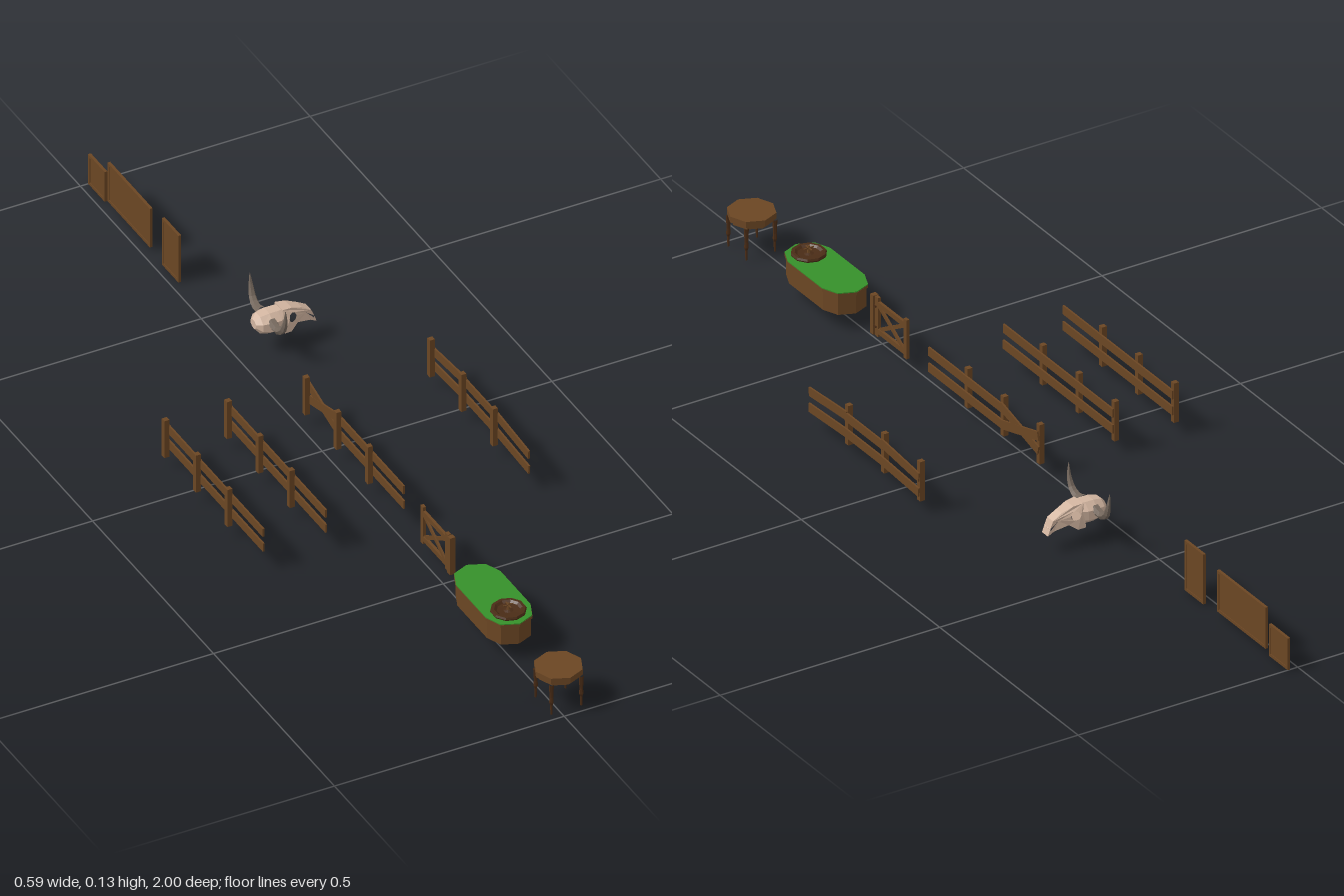
import * as THREE from 'three';

const mat = (color) => new THREE.MeshStandardMaterial({ color, flatShading: true });
const wood = mat(0x6b4623), darkWood = mat(0x4a2c16), felt = mat(0x36902a);
const bone = mat(0xd2b5a0), horn = mat(0x75685d);

function add(parent, name, geometry, material, x = 0, y = 0, z = 0) {
  const mesh = new THREE.Mesh(geometry, material);
  mesh.name = name;
  mesh.position.set(x, y, z);
  parent.add(mesh);
  return mesh;
}

function group(parent, name, x = 0, y = 0, z = 0) {
  const g = new THREE.Group();
  g.name = name;
  g.position.set(x, y, z);
  parent.add(g);
  return g;
}

// Thin board in the YZ plane running between two (z, y) points
function board(parent, name, z0, y0, z1, y1, height, thick, x = 0) {
  const len = Math.hypot(z1 - z0, y1 - y0);
  const m = add(parent, name, new THREE.BoxGeometry(thick, height, len), wood, x, (y0 + y1) / 2, (z0 + z1) / 2);
  m.rotation.x = -Math.atan2(y1 - y0, z1 - z0);
  return m;
}

// Stool with faceted seat and four turned legs
function stool(root) {
  const g = group(root, 'stool', 0.014, 0, 0.95);
  add(g, 'seat', new THREE.CylinderGeometry(0.049, 0.049, 0.013, 8), wood, 0, 0.079, 0);
  add(g, 'seatApron', new THREE.CylinderGeometry(0.042, 0.042, 0.008, 8), wood, 0, 0.069, 0);
  const profile = [[0, 0], [0.002, 0], [0.0025, 0.022], [0.0045, 0.028], [0.0035, 0.04], [0.005, 0.07]];
  const leg = new THREE.LatheGeometry(profile.map(([r, y]) => new THREE.Vector2(r, y)), 6);
  for (const sx of [-1, 1]) for (const sz of [-1, 1]) add(g, 'stoolLeg', leg, darkWood, sx * 0.0325, 0, sz * 0.0325);
}

// Long round-ended slab
function capsule(radius, length, height) {
  const h = length / 2 - radius;
  const s = new THREE.Shape();
  s.absarc(0, h, radius, 0, Math.PI, false);
  s.absarc(0, -h, radius, Math.PI, Math.PI * 2, false);
  return new THREE.ExtrudeGeometry(s, { depth: height, bevelEnabled: false, curveSegments: 2 }).rotateX(-Math.PI / 2);
}

// Gaming table: wooden tub, green cloth top, spinning wheel
function gamingTable(root) {
  const g = group(root, 'gamingTable', 0.013, 0, 0.682);
  add(g, 'tableBody', capsule(0.046, 0.214, 0.044), wood, 0, 0.035, 0);
  add(g, 'tableRim', capsule(0.049, 0.222, 0.006), wood, 0, 0.077, 0);
  add(g, 'clothTop', capsule(0.0485, 0.221, 0.002), felt, 0, 0.083, 0);
  const w = group(g, 'wheel', 0, 0.084, 0.063);
  const dish = [[0.034, 0], [0.036, 0.004], [0.034, 0.008], [0.028, 0.008], [0.023, 0.004], [0.01, 0.003], [0, 0.006]];
  add(w, 'wheelDish', new THREE.LatheGeometry(dish.map(([r, y]) => new THREE.Vector2(r, y)), 10), darkWood);
  add(w, 'wheelSpindle', new THREE.CylinderGeometry(0.002, 0.004, 0.018, 6), wood, 0, 0.011, 0);
  for (const a of [0, Math.PI / 2]) {
    add(w, 'wheelHandle', new THREE.BoxGeometry(0.022, 0.002, 0.002), wood, 0, 0.015, 0).rotation.y = a;
  }
}

// Braced gate hanging on a post
function gate(root) {
  const g = group(root, 'gate', 0.014, 0, 0);
  add(g, 'hingePost', new THREE.BoxGeometry(0.012, 0.086, 0.011), wood, 0, 0.068, 0.507);
  for (const z of [0.494, 0.391]) add(g, 'gateStile', new THREE.BoxGeometry(0.007, 0.086, 0.011), wood, 0, 0.068, z);
  for (const y of [0.037, 0.097]) add(g, 'gateRail', new THREE.BoxGeometry(0.006, 0.011, 0.1), wood, 0, y, 0.4425);
  board(g, 'gateBrace', 0.395, 0.039, 0.49, 0.095, 0.008, 0.004, 0.001);
  board(g, 'gateBrace', 0.395, 0.095, 0.49, 0.039, 0.008, 0.004, -0.001);
  for (const y of [0.045, 0.09]) add(g, 'hinge', new THREE.BoxGeometry(0.004, 0.004, 0.012), darkWood, 0.003, y, 0.5);
}

// Three-bay fence; each bay lists rail heights: [upper start, upper end, lower start, lower end]
function fence(root, x, bays) {
  const g = group(root, 'fence', x, 0, 0);
  bays.forEach(([u0, u1, l0, l1], i) => {
    const z = -0.095 + i * 0.13;
    add(g, 'fencePost', new THREE.BoxGeometry(0.011, 0.087, 0.011), wood, 0, 0.0685, z);
    board(g, 'upperRail', z - 0.004, u0, z + 0.132, u1, 0.019, 0.004, 0.0068);
    board(g, 'lowerRail', z - 0.004, l0, z + 0.132, l1, 0.019, 0.004, 0.0072);
  });
}

// Closed loft through rings: [x, centre y, half height, half width]
function loft(rings, sides) {
  const pos = [], idx = [];
  for (const [x, cy, h, w] of rings) {
    for (let i = 0; i < sides; i++) {
      const a = ((i + 0.5) / sides) * Math.PI * 2;
      pos.push(x, cy + Math.cos(a) * h, Math.sin(a) * w);
    }
  }
  for (let r = 0; r < rings.length - 1; r++) {
    for (let i = 0; i < sides; i++) {
      const a = r * sides + i, b = r * sides + ((i + 1) % sides);
      idx.push(a, a + sides, b, b, a + sides, b + sides);
    }
  }
  const last = (rings.length - 1) * sides;
  for (let i = 1; i < sides - 1; i++) idx.push(0, i, i + 1, last, last + i + 1, last + i);
  const geo = new THREE.BufferGeometry();
  geo.setAttribute('position', new THREE.Float32BufferAttribute(pos, 3));
  geo.setIndex(idx.map((_, k) => (k % 3 === 1 ? idx[k + 1] : k % 3 === 2 ? idx[k - 1] : idx[k])));
  geo.computeVertexNormals();
  return geo;
}

// Horned cattle skull facing +x
function skull(root) {
  const g = group(root, 'skull', 0, 0, -0.355);
  const rings = [[0.037, 0.066, 0.01, 0.012], [0.047, 0.065, 0.021, 0.024], [0.066, 0.065, 0.025, 0.03],
    [0.085, 0.065, 0.025, 0.029], [0.1, 0.066, 0.024, 0.023]];
  const cranium = add(g, 'cranium', loft(rings, 8), bone);
  cranium.material = bone.clone();
  cranium.material.side = THREE.DoubleSide;
  // Face profile with an eye socket and nose slot, narrowed towards the snout
  const s = new THREE.Shape();
  [[0.092, 0.09], [0.113, 0.088], [0.137, 0.079], [0.157, 0.067], [0.169, 0.037], [0.155, 0.044], [0.125, 0.052],
    [0.108, 0.04], [0.092, 0.042]].forEach(([x, y], i) => (i ? s.lineTo(x, y) : s.moveTo(x, y)));
  const eye = new THREE.Path();
  eye.absarc(0.112, 0.07, 0.0095, 0, Math.PI * 2, true);
  const nose = new THREE.Path();
  nose.setFromPoints([[0.146, 0.064], [0.164, 0.051], [0.163, 0.047]].map(([x, y]) => new THREE.Vector2(x, y)));
  s.holes.push(eye, nose);
  const face = new THREE.ExtrudeGeometry(s, { depth: 2, bevelEnabled: false, curveSegments: 4 }).translate(0, 0, -1);
  const p = face.attributes.position;
  for (let i = 0; i < p.count; i++) {
    const t = THREE.MathUtils.clamp((p.getX(i) - 0.1) / 0.04, 0, 1);
    const top = THREE.MathUtils.clamp((p.getY(i) - 0.07) / 0.02, 0, 1);
    p.setZ(i, p.getZ(i) * THREE.MathUtils.lerp(0.027, 0.011, t) * (1 - 0.4 * top));
  }
  face.computeVertexNormals();
  add(g, 'face', face, bone);
  // Tapered, upswept horns
  for (const side of [-1, 1]) {
    const path = new THREE.CatmullRomCurve3([[0.067, 0.074, 0.02], [0.067, 0.069, 0.042], [0.068, 0.079, 0.061],
      [0.069, 0.102, 0.071], [0.068, 0.131, 0.074]].map(([x, y, z]) => new THREE.Vector3(x, y, z * side)));
    const tube = new THREE.TubeGeometry(path, 8, 0.0095, 6);
    const q = tube.attributes.position, v = new THREE.Vector3();
    for (let i = 0; i < q.count; i++) {
      const t = Math.floor(i / 7) / 8, c = path.getPointAt(t);
      v.fromBufferAttribute(q, i).sub(c).multiplyScalar(1 - 0.95 * t * t).add(c);
      q.setXYZ(i, v.x, v.y, v.z);
    }
    add(g, 'horn', tube, horn);
  }
}

// Flat framed panel in the YZ plane
function panel(root, name, z0, z1, y0, y1) {
  const w = z1 - z0, h = y1 - y0, f = 0.006;
  const g = group(root, name, 0.02, (y0 + y1) / 2, (z0 + z1) / 2);
  add(g, 'panelBoard', new THREE.BoxGeometry(0.003, h - f, w - f), wood);
  for (const k of [-1, 1]) {
    add(g, 'frameSide', new THREE.BoxGeometry(0.006, h, f), wood, 0, 0, k * (w - f) / 2);
    add(g, 'frameEdge', new THREE.BoxGeometry(0.006, f, w - 2 * f), wood, 0, k * (h - f) / 2, 0);
  }
}

export function createModel() {
  const root = new THREE.Group();
  root.name = 'ranchProps';
  stool(root);
  gamingTable(root);
  gate(root);
  const level = [0.087, 0.087, 0.052, 0.052], crossed = [0.056, 0.09, 0.088, 0.05];
  fence(root, -0.291, [level, level, level]);
  fence(root, -0.155, [level, level, level]);
  fence(root, 0.015, [crossed, level, level]);
  fence(root, 0.287, [[0.078, 0.09, 0.045, 0.052], level, [0.09, 0.08, 0.052, 0.045]]);
  skull(root);
  panel(root, 'door', -0.695, -0.627, 0, 0.11);
  panel(root, 'wideShutter', -0.92, -0.745, 0.009, 0.1);
  panel(root, 'smallShutter', -1, -0.932, 0, 0.07);
  return root;
}
